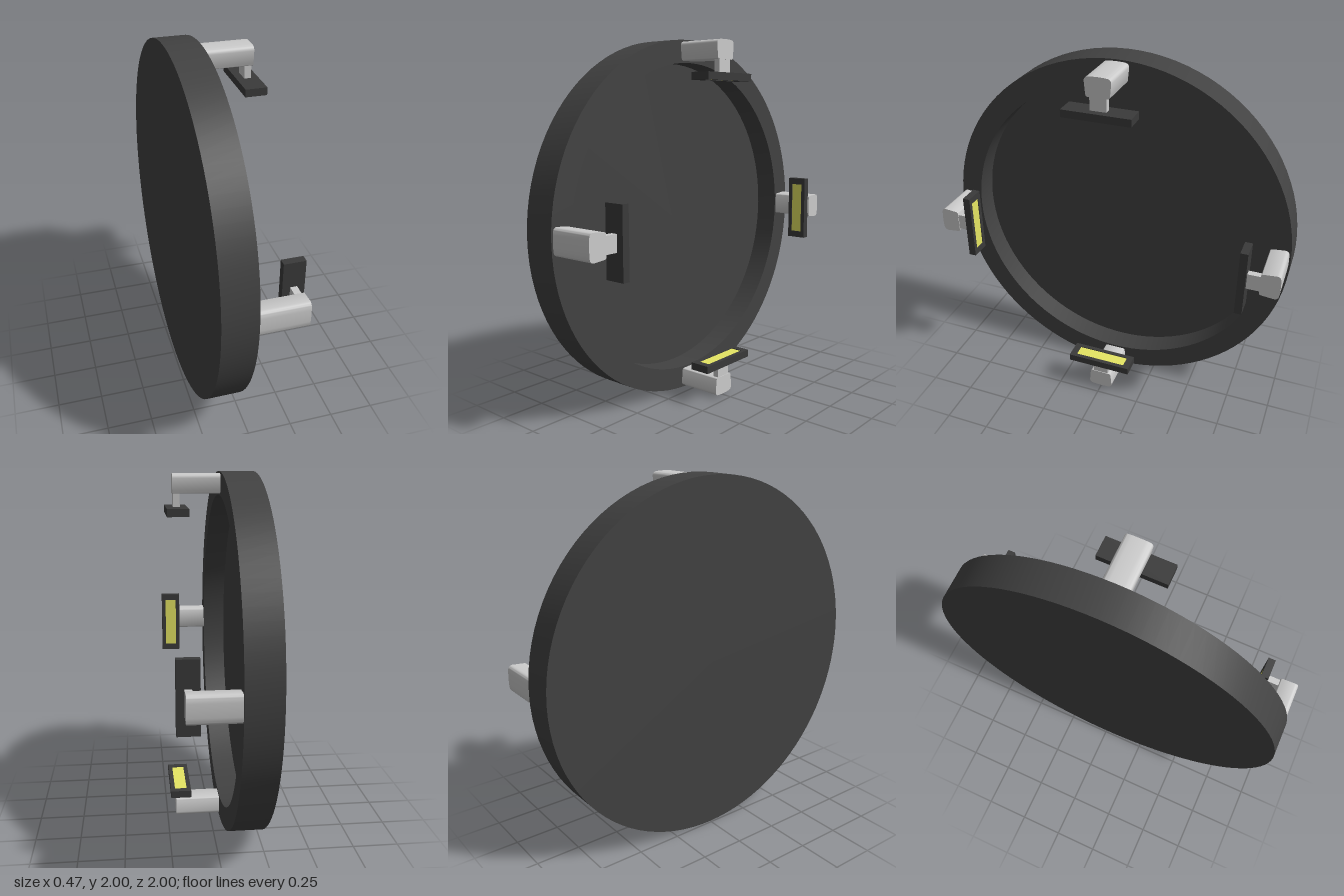
import * as THREE from 'three';
import { toCreasedNormals } from 'three/addons/utils/BufferGeometryUtils.js';

const grey = new THREE.MeshStandardMaterial({ color: 0xcccccc });
const dark = new THREE.MeshStandardMaterial({ color: 0x424242 });
const black = new THREE.MeshStandardMaterial({ color: 0x3a3a3a });
const yellow = new THREE.MeshStandardMaterial({ color: 0xe6e664 });

function add(parent, name, geometry, material) {
  const mesh = new THREE.Mesh(geometry, material);
  mesh.name = name;
  parent.add(mesh);
  return mesh;
}

// Box given by its limits on each axis
function box(x0, x1, y0, y1, z0, z1) {
  return new THREE.BoxGeometry(x1 - x0, y1 - y0, z1 - z0)
    .translate((x0 + x1) / 2, (y0 + y1) / 2, (z0 + z1) / 2);
}

function rectangle(target, w, h) {
  target.moveTo(-w, -h).lineTo(w, -h).lineTo(w, h).lineTo(-w, h).closePath();
  return target;
}

// Shallow round dish with its open side towards +x
function dishGeometry() {
  const profile = [[0, -0.24], [1, -0.24], [1, -0.055], [0.875, -0.055], [0.875, -0.19], [0, -0.19]]
    .map(([r, h]) => new THREE.Vector2(r, h));
  const lathe = new THREE.LatheGeometry(profile, 96).rotateZ(-Math.PI / 2);
  return toCreasedNormals(lathe, 0.6);
}

// Arm: tapered section with rounded outer corners, extruded along x
function armGeometry() {
  const s = new THREE.Shape();
  s.moveTo(-0.056, 0.885);
  s.lineTo(0.056, 0.885);
  s.quadraticCurveTo(0.064, 0.888, 0.065, 0.9);
  s.lineTo(0.071, 0.965);
  s.quadraticCurveTo(0.07, 0.985, 0.05, 0.988);
  s.quadraticCurveTo(0, 0.993, -0.05, 0.988);
  s.quadraticCurveTo(-0.07, 0.985, -0.071, 0.965);
  s.lineTo(-0.065, 0.9);
  s.quadraticCurveTo(-0.064, 0.888, -0.056, 0.885);
  const g = new THREE.ExtrudeGeometry(s, { depth: 0.26, bevelEnabled: false, curveSegments: 6 });
  return toCreasedNormals(g.rotateY(Math.PI / 2).translate(-0.06, 0, 0), 0.6);
}

// Raised rim around the pad, facing the centre of the dish
function padRimGeometry() {
  const s = rectangle(new THREE.Shape(), 0.0575, 0.1875);
  s.holes.push(rectangle(new THREE.Path(), 0.034, 0.15));
  return new THREE.ExtrudeGeometry(s, { depth: 0.01, bevelEnabled: false })
    .rotateX(-Math.PI / 2).translate(0.1775, 0.773, 0);
}

function createClamp() {
  const clamp = new THREE.Group();
  add(clamp, 'arm', armGeometry(), grey);
  add(clamp, 'stem', box(0.16, 0.196, 0.81, 0.89, -0.045, 0.045), grey);
  add(clamp, 'padPlate', box(0.12, 0.235, 0.783, 0.814, -0.1875, 0.1875), black);
  add(clamp, 'padRim', padRimGeometry(), black);
  add(clamp, 'pad', box(0.1435, 0.2115, 0.777, 0.79, -0.15, 0.15), yellow);
  return clamp;
}

export function createModel() {
  const model = new THREE.Group();
  model.name = 'dishWithClamps';
  add(model, 'dish', dishGeometry(), dark).position.y = 1;

  // Four clamps around the rim
  for (let i = 0; i < 4; i++) {
    const clamp = createClamp();
    clamp.name = 'clamp' + (i + 1);
    clamp.position.y = 1;
    clamp.rotation.x = i * Math.PI / 2;
    model.add(clamp);
  }
  return model;
}
